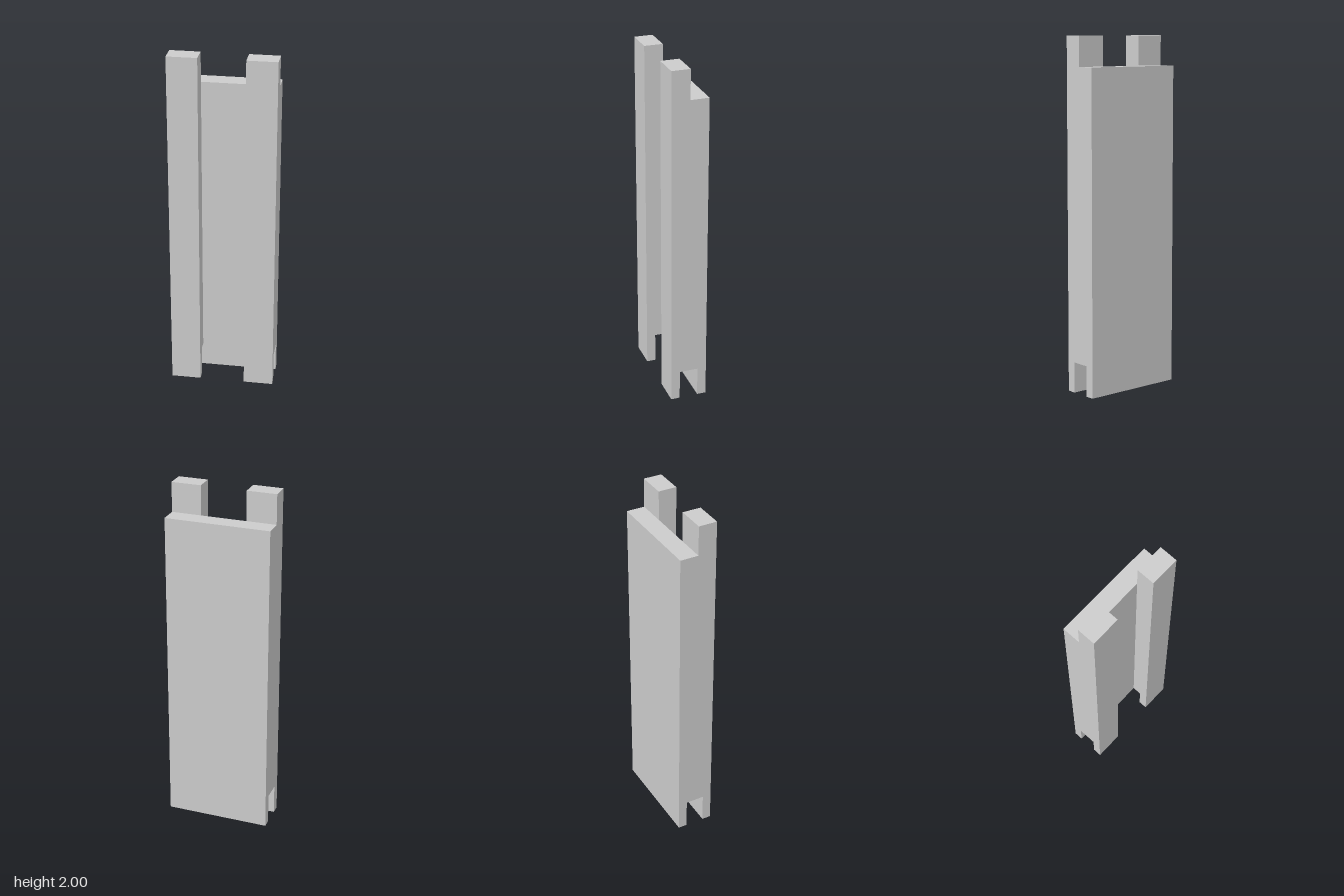
import * as THREE from 'three';

const material = new THREE.MeshStandardMaterial({ color: 0xcccccc, flatShading: true });

// Extrude a [z, y] side profile across x, centred on the given x
function sideExtrusion(name, profile, width, x) {
  const shape = new THREE.Shape(profile.map(([z, y]) => new THREE.Vector2(z, y)));
  const geometry = new THREE.ExtrudeGeometry(shape, { depth: width, bevelEnabled: false });
  geometry.translate(0, 0, -width / 2).rotateY(-Math.PI / 2);
  const mesh = new THREE.Mesh(geometry, material);
  mesh.name = name;
  mesh.position.x = x;
  return mesh;
}

export function createModel() {
  const group = new THREE.Group();
  group.name = 'slottedPanel';

  const halfWidth = 0.3, railInner = 0.13, depth = 0.106;
  const panelTop = 1.83, railTop = 2, slotTop = 0.175, slotZ = 0.054;
  const railWidth = halfWidth - railInner;

  // Back panel, rebated at the bottom of its front face
  const panel = [[-depth, 0], [-slotZ, 0], [-slotZ, slotTop], [0, slotTop], [0, panelTop], [-depth, panelTop]];
  group.add(sideExtrusion('backPanel', panel, halfWidth * 2, 0));

  // Front rails, rising above the panel and cut to complete the bottom slot
  const rail = [[0, slotTop], [slotZ, slotTop], [slotZ, 0], [depth, 0], [depth, railTop], [0, railTop]];
  for (const [name, side] of [['leftRail', 1], ['rightRail', -1]]) {
    group.add(sideExtrusion(name, rail, railWidth, side * (railInner + railWidth / 2)));
  }

  return group;
}
